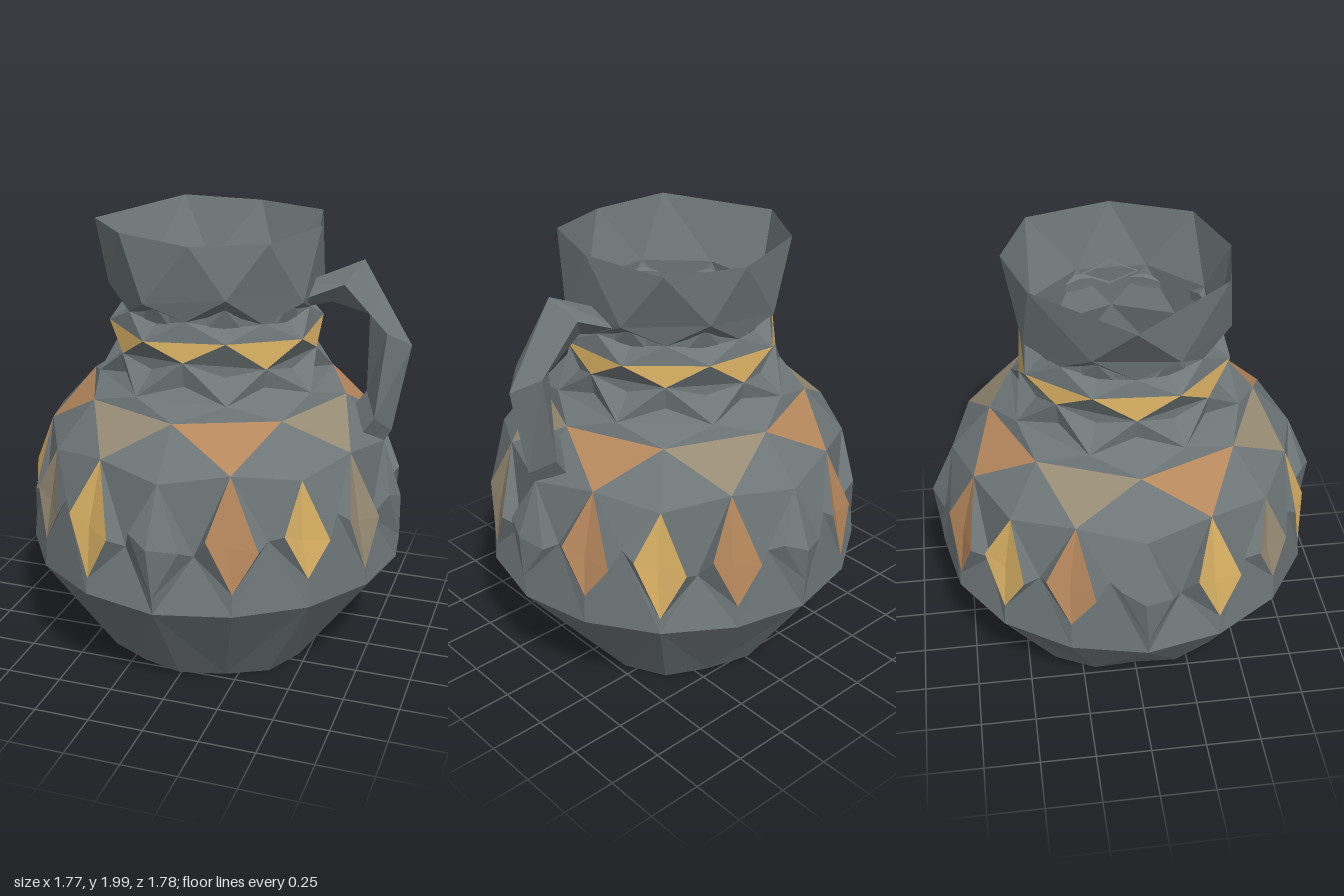
import * as THREE from 'three';

const SLATE = 0x6e7678, GOLD = 0xd6ae62, COPPER = 0xb5875c, BRONZE = 0x978b74;

// Point on a ring: angle in degrees from the front (+z) towards +x
function ringPoint(angle, y, r) {
  const a = THREE.MathUtils.degToRad(angle);
  return [r * Math.sin(a), y, r * Math.cos(a)];
}

// Collects triangles for one faceted, single-coloured part
class Facets {
  constructor(name, color) { this.name = name; this.color = color; this.pos = []; }
  tri(a, b, c) { this.pos.push(...a, ...b, ...c); }
  // Triangles from a centre to a closed counter-clockwise outline
  fan(centre, outline) {
    outline.forEach((p, i) => this.tri(centre, p, outline[(i + 1) % outline.length]));
  }
  // Triangle pressed inwards at its middle
  dent(a, b, c) {
    const mid = k => (a[k] + b[k] + c[k]) / 3;
    this.fan([mid(0) * 0.93, mid(1), mid(2) * 0.93], [a, b, c]);
  }
  quad(a, b, c, d) { this.tri(a, b, c); this.tri(a, c, d); }
  mesh() {
    const g = new THREE.BufferGeometry();
    g.setAttribute('position', new THREE.Float32BufferAttribute(this.pos, 3));
    g.computeVertexNormals();
    const m = new THREE.Mesh(g, new THREE.MeshStandardMaterial({
      color: this.color, flatShading: true, side: THREE.DoubleSide }));
    m.name = this.name;
    return m;
  }
}

export function createModel() {
  const base = new Facets('base', SLATE);
  const belly = new Facets('belly', SLATE);
  const neck = new Facets('neck', SLATE);
  const lining = new Facets('neckLining', SLATE);
  const handle = new Facets('handle', SLATE);
  const gold = new Facets('goldGems', GOLD);
  const copper = new Facets('copperGems', COPPER);
  const bronze = new Facets('bronzeGems', BRONZE);
  const tiles = [new Facets('copperShoulderTiles', COPPER), new Facets('bronzeShoulderTiles', BRONZE)];
  const collar = new Facets('goldCollar', GOLD);

  // Belly columns: sixteen, each with a rhombus; four plain ones stand proud, the rest hold sunk gems
  const N = 16, step = 360 / N;
  const inlay = [belly, copper, gold, bronze, belly, copper, gold, copper,
    belly, copper, gold, copper, belly, gold, bronze, gold];
  const cols = inlay.map((part, i) => {
    const a = i * step, plain = part === belly, odd = i % 2 === 1;
    const footRadius = odd ? 0.505 : [0.54, 0.53, 0.47, 0.53][(i / 2) % 4];
    return {
      foot: ringPoint(a, i % 4 ? 0.01 : 0.025, footRadius),
      low: ringPoint(a, i % 4 ? 0.5 : 0.49, 0.86),
      bottom: ringPoint(a, 0.6 + 0.03 * (i % 3 - 1), plain ? 0.87 : 0.85),
      left: ringPoint(a - 7.5, 0.84, 0.845),
      right: ringPoint(a + 7.5, 0.78, 0.845),
      centre: ringPoint(a - 1, 0.8, plain ? (i === 4 ? 0.87 : 0.89) : 0.815),
      top: ringPoint(a, odd ? 1.09 : 1.05, odd ? 0.75 : 0.78),
      dent: ringPoint(a + step / 2, 0.74 + 0.07 * (i % 3), 0.78 + 0.02 * (i % 3)),
    };
  });
  cols.forEach((c, i) => {
    const n = cols[(i + 1) % N];
    if (i > 0 && i < N - 1) base.tri(cols[0].foot, n.foot, c.foot);
    if (i % 2) { belly.tri(c.foot, n.low, c.low); belly.tri(c.foot, n.foot, n.low); }
    else { belly.tri(c.foot, n.foot, c.low); belly.tri(n.foot, n.low, c.low); }
    inlay[i].fan(c.centre, [c.bottom, c.right, c.top, c.left]);
    // Dented facets between neighbouring gems
    belly.fan(c.dent, [c.low, n.low, n.bottom, n.left, n.top, c.top, c.right, c.bottom]);
  });

  // Eight-sided rings, each turned half a step from the one below
  const ring = (y, r, half, wobble = 0) => Array.from({ length: 8 }, (_, k) =>
    ringPoint((k + (half ? 0.5 : 0)) * 45, y + wobble * Math.cos(k * 2.4), r));
  // Zigzag band between two rings; up and down receive the two kinds of triangle
  function join(lower, upper, lowerTurned, up, down) {
    for (let k = 0; k < 8; k++) {
      const m = (k + 1) % 8;
      if (lowerTurned) {
        up(lower[k], lower[m], upper[m]);
        down(upper[k], lower[k], upper[m]);
      } else {
        up(lower[k], lower[m], upper[k]);
        down(upper[k], lower[m], upper[m]);
      }
    }
  }

  // Shoulder with inset coloured tiles
  const shoulder = ring(1.25, 0.6, false);
  shoulder.forEach((s, k) => {
    const next = shoulder[(k + 1) % 8], t = cols[2 * k + 1].top;
    tiles[k % 2].tri(s, t, next);
    belly.tri(s, cols[2 * k].top, t);
    belly.tri(s, cols[(2 * k + 15) % N].top, cols[2 * k].top);
  });

  // Neck, gold collar and flared rim with a pouring lip on -x
  const flat = (a, b, c) => neck.tri(a, b, c);
  const dented = (a, b, c) => neck.dent(a, b, c);
  const golden = (a, b, c) => collar.tri(a, b, c);
  const n1 = ring(1.31, 0.53, true), n2 = ring(1.45, 0.46, false, 0.02);
  const n3 = ring(1.55, 0.48, true, 0.015), n4 = ring(1.63, 0.425, false, 0.01);
  const n5 = ring(1.72, 0.48, true, 0.03);
  const rim = [[0.03, 1.97, 0.47], [0.34, 1.98, 0.36], [0.47, 1.99, 0], [0.38, 1.98, -0.38],
    [0.05, 1.98, -0.51], [-0.3, 2, -0.42], [-0.59, 1.95, -0.02], [-0.3, 1.99, 0.4]];
  join(shoulder, n1, false, flat, flat);
  join(n1, n2, true, dented, dented);
  join(n2, n3, false, flat, golden);
  join(n3, n4, true, flat, dented);
  join(n4, n5, false, dented, flat);
  join(n5, rim, true, flat, flat);

  // Inner wall from the rim down through the neck
  const in1 = ring(1.7, 0.42, true), in2 = ring(1.5, 0.395, false), in3 = ring(1.3, 0.42, true);
  const inward = (a, b, c) => lining.tri(a, c, b);
  join(in1, rim, true, inward, inward);
  join(in2, in1, false, inward, inward);
  join(in3, in2, true, inward, inward);

  // Handle: diamond sections given as outer x,y, inner x,y and half width
  const sections = [
    [0.38, 1.73, 0.38, 1.62, 0.13], [0.66, 1.86, 0.52, 1.66, 0.08],
    [0.88, 1.5, 0.69, 1.63, 0.09], [0.81, 1.1, 0.69, 1.27, 0.11], [0.74, 0.98, 0.6, 1.15, 0.11],
  ].map(([ox, oy, ix, iy, w]) => {
    const mx = (ox + ix) / 2, my = (oy + iy) / 2;
    return [[ox, oy, 0], [mx, my, w - 0.01], [ix, iy, -0.01], [mx, my, -w - 0.01]];
  });
  for (let s = 0; s < sections.length - 1; s++) {
    const p = sections[s], q = sections[s + 1];
    for (let j = 0; j < 4; j++) {
      const m = (j + 1) % 4;
      handle.quad(p[j], p[m], q[m], q[j]);
    }
  }

  const group = new THREE.Group();
  group.name = 'jug';
  const parts = [base, belly, gold, copper, bronze, ...tiles, neck, collar, lining, handle];
  for (const part of parts) group.add(part.mesh());
  return group;
}
